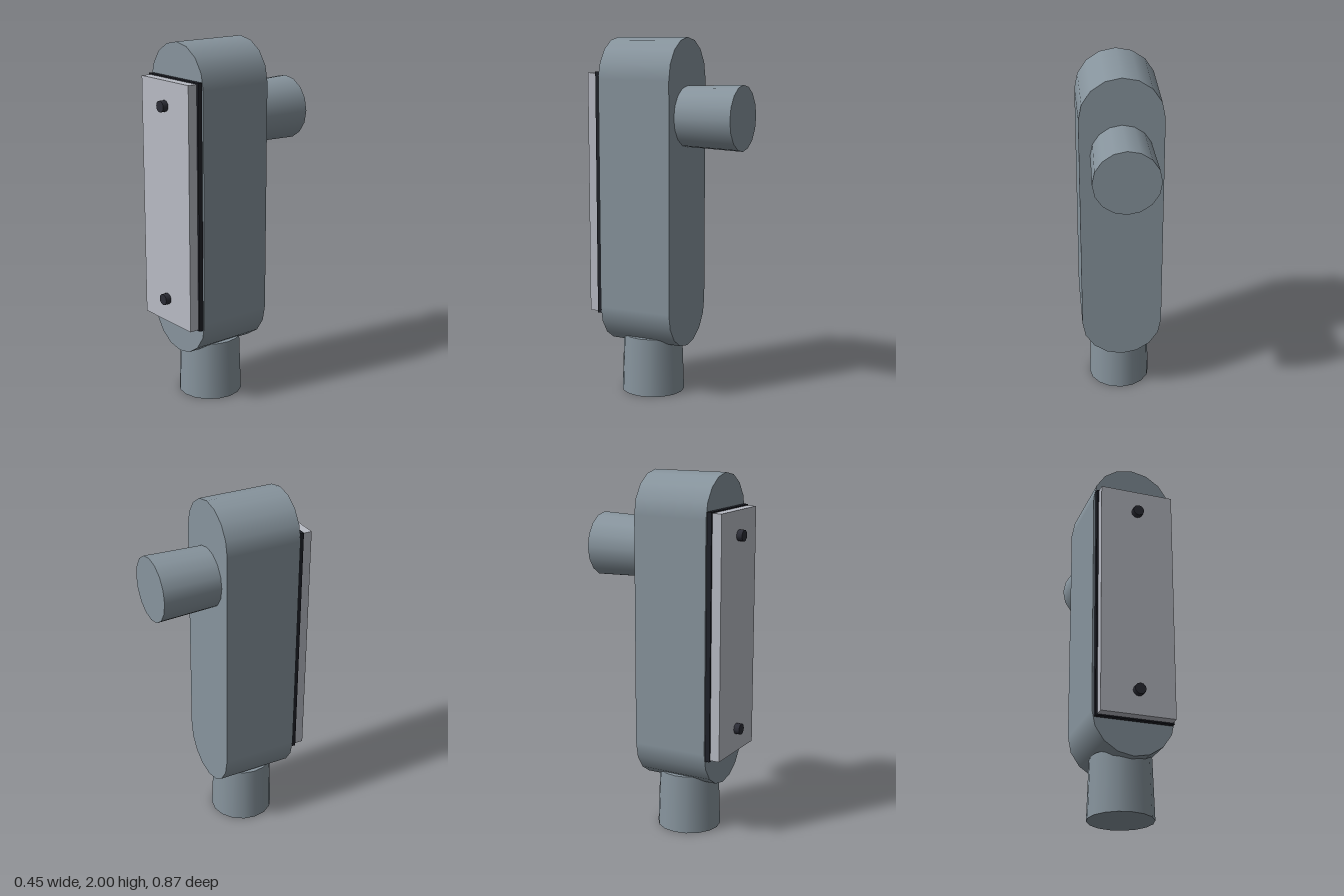
import * as THREE from 'three';

const mat = (name, color) => {
  const m = new THREE.MeshStandardMaterial({ color });
  m.name = name;
  return m;
};

export function createModel() {
  const group = new THREE.Group();
  const bodyGrey = mat('body grey', 0x87949d);
  const coverGrey = mat('cover light grey', 0xb8bbc4);
  const gasketBlack = mat('gasket black', 0x1f2128);
  const screwDark = mat('screw dark', 0x2b2c35);

  const add = (name, geometry, material, x, y, z) => {
    const mesh = new THREE.Mesh(geometry, material);
    mesh.name = name;
    mesh.position.set(x, y, z);
    group.add(mesh);
    return mesh;
  };

  // Housing: a straight box with a half-round at each end
  const R = 0.226, back = -0.105, front = 0.323;
  const depth = front - back, midZ = (front + back) / 2;
  const lowY = 0.28 + R, highY = 2 - R;
  add('bodyMiddle', new THREE.BoxGeometry(2 * R, highY - lowY, depth), bodyGrey, 0, (lowY + highY) / 2, midZ);
  const halfRound = (start) =>
    new THREE.CylinderGeometry(R, R, depth, 8, 1, false, start, Math.PI).rotateX(Math.PI / 2);
  add('bodyTopEnd', halfRound(Math.PI / 2), bodyGrey, 0, highY, midZ);
  add('bodyBottomEnd', halfRound(-Math.PI / 2), bodyGrey, 0, lowY, midZ);

  // Tapered conduit hubs, wider at the open end
  const hub = () => new THREE.CylinderGeometry(0.167, 0.178, 0.33, 16);
  add('bottomHub', hub(), bodyGrey, 0, 0.165, midZ + 0.002);
  add('backHub', hub().rotateX(Math.PI / 2), bodyGrey, 0, 1.573, back - 0.165);

  // Gasket and cover plate on the front
  const coverY = 1.141;
  add('gasket', new THREE.BoxGeometry(0.43, 1.347, 0.026), gasketBlack, 0, coverY, front + 0.013);
  add('coverPlate', new THREE.BoxGeometry(0.41, 1.333, 0.053), coverGrey, 0, coverY, front + 0.0525);

  // Cover screws
  for (const y of [1.674, 0.608]) {
    const screw = new THREE.CylinderGeometry(0.031, 0.031, 0.033, 12).rotateX(Math.PI / 2);
    add('coverScrew', screw, screwDark, 0, y, 0.4175);
  }
  return group;
}
